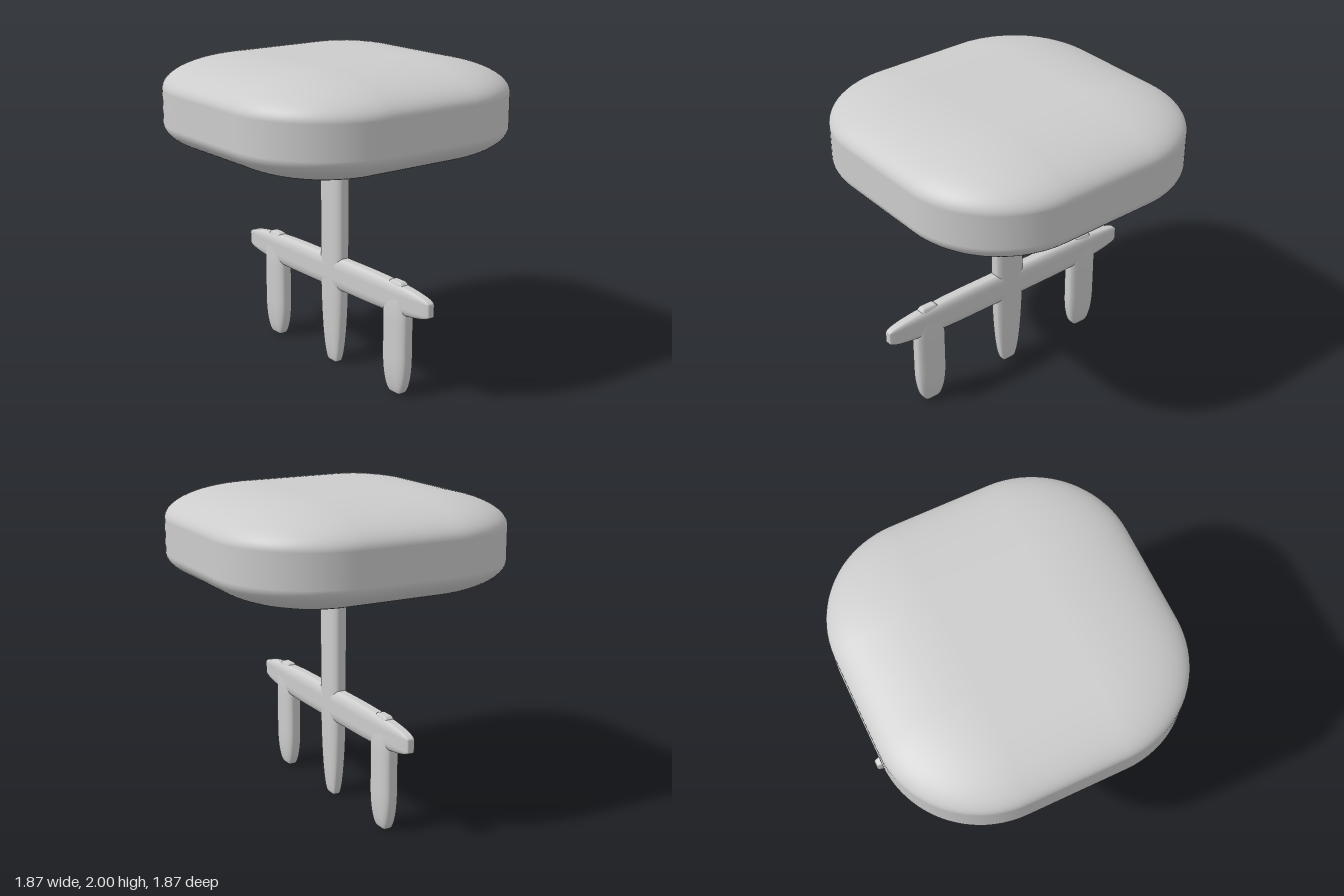
import * as THREE from 'three';
import { RoundedBoxGeometry } from 'three/addons/geometries/RoundedBoxGeometry.js';

export function createModel() {
  const model = new THREE.Group();
  model.name = 'stool';

  const grey = new THREE.MeshStandardMaterial({ color: 0xcccccc });
  grey.name = 'plain grey';

  // Pillow-like block: the middle third of each side is flat, the outer thirds are elliptical
  function pillow(name, width, depth, bottom, top, x = 0, segments = 6) {
    const height = top - bottom;
    const geometry = new RoundedBoxGeometry(3, 3, 3, segments, 1);
    geometry.scale(width / 3, height / 3, depth / 3);
    const mesh = new THREE.Mesh(geometry, grey);
    mesh.name = name;
    mesh.position.set(x, bottom + height / 2, 0);
    model.add(mesh);
  }

  // Cushion and the post that runs up into it
  pillow('seat', 1.87, 1.87, 1.38, 2, 0, 12);
  pillow('post', 0.214, 0.11, 0, 1.97);

  // Cross bar with a leg on each side, tips just poking through
  pillow('crossBar', 1.87, 0.11, 0.51, 0.72);
  pillow('leftLeg', 0.212, 0.11, 0, 0.725, 0.63);
  pillow('rightLeg', 0.212, 0.11, 0, 0.725, -0.63);

  return model;
}
